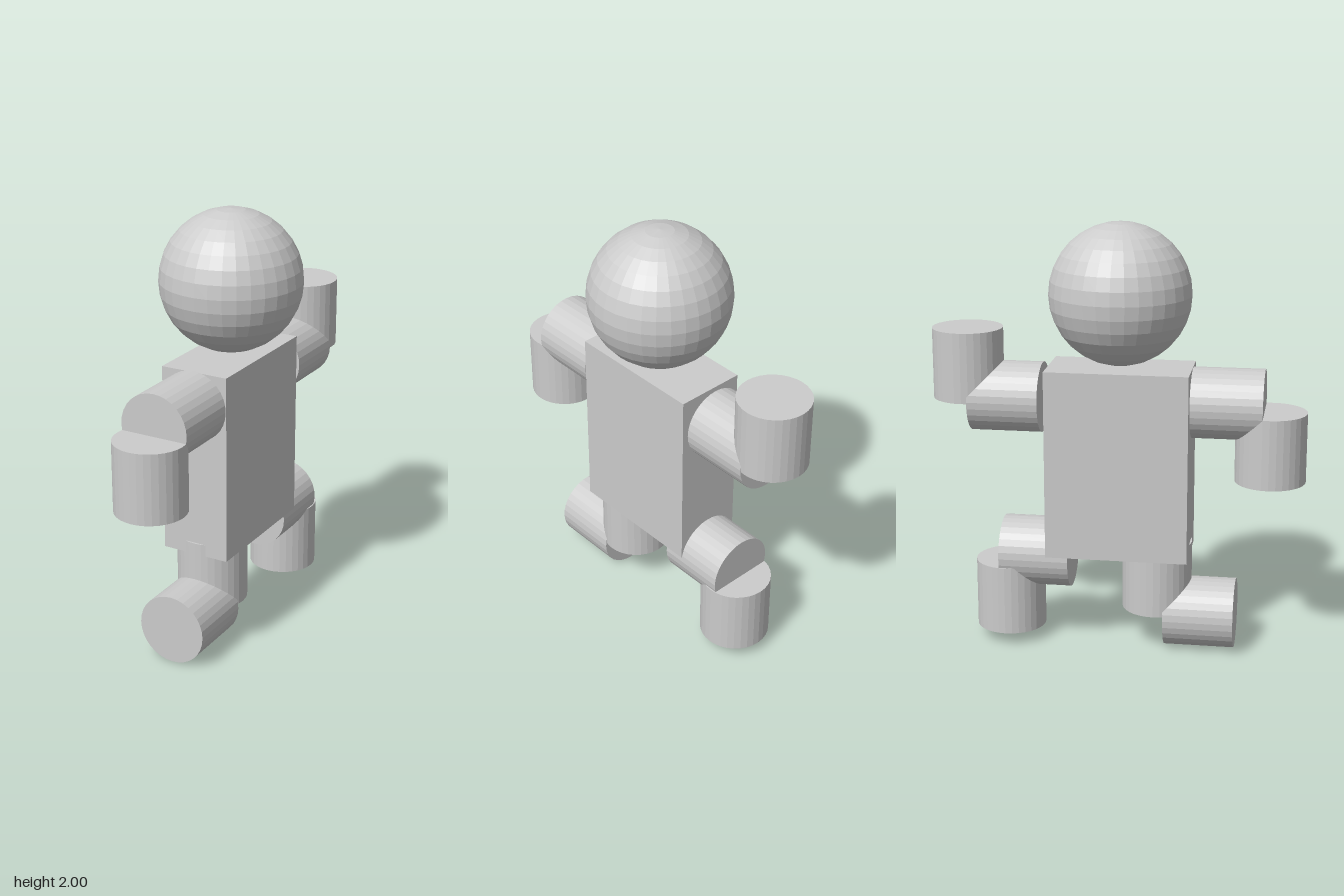
import * as THREE from 'three';

const R = 0.1635; // limb radius
const L = 0.327; // limb segment length

export function createModel() {
  const model = new THREE.Group();
  const material = new THREE.MeshStandardMaterial({ color: 0xcccccc, flatShading: true });

  const add = (name, geometry, y, z, parent = model) => {
    const mesh = new THREE.Mesh(geometry, material);
    mesh.name = name;
    mesh.position.set(0, y, z);
    parent.add(mesh);
    return mesh;
  };

  // Head and slab torso
  add('head', new THREE.SphereGeometry(0.326, 32, 16), 1.674, 0.01);
  add('torso', new THREE.BoxGeometry(2 * R, 0.885, 0.66), 0.895, 0.01);

  // Shared limb cylinders, one upright and one lying along z
  const upright = new THREE.CylinderGeometry(R, R, L, 32);
  const lying = upright.clone().rotateX(Math.PI / 2);

  // Each limb has two segments: [name, geometry, y, z]
  const limbs = {
    frontArm: [['frontUpperArm', lying, 1.182, 0.508], ['frontForearm', upright, 0.987, 0.704]],
    backArm: [['backUpperArm', lying, 1.182, -0.514], ['backForearm', upright, 1.338, -0.701]],
    frontLeg: [['frontThigh', upright, 0.346, 0.186], ['frontShin', lying, R, 0.393]],
    backLeg: [['backThigh', lying, 0.43, -0.38], ['backShin', upright, 0.222, -0.517]],
  };
  for (const [name, segments] of Object.entries(limbs)) {
    const limb = new THREE.Group();
    limb.name = name;
    for (const segment of segments) add(...segment, limb);
    model.add(limb);
  }
  return model;
}
